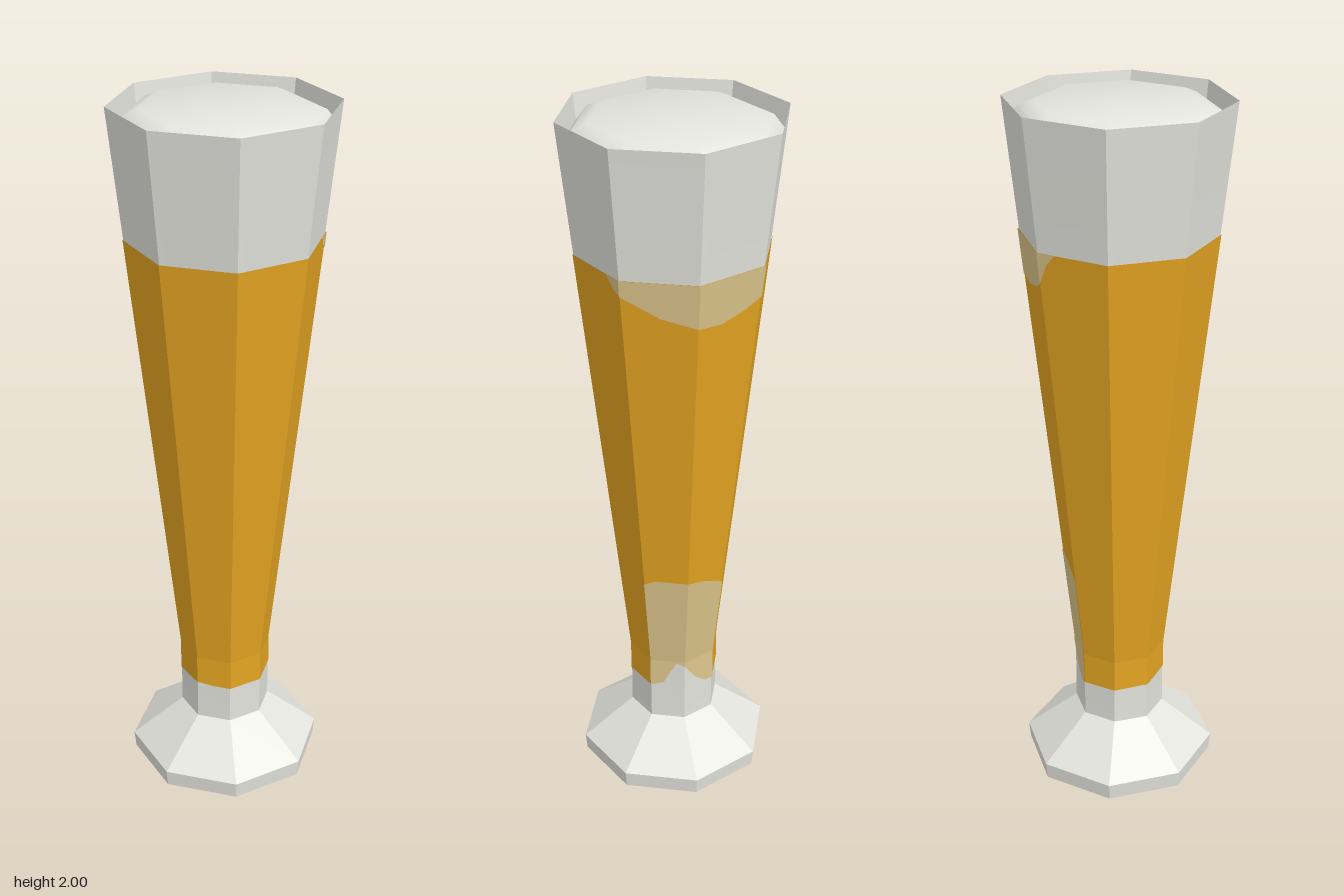
import * as THREE from 'three';
import { toCreasedNormals } from 'three/addons/utils/BufferGeometryUtils.js';

const SIDES = 8;
const BEND = 0.38; // height where the straight neck begins to flare
const NECK_R = 0.13, RIM_R = 0.302;

const radiusAt = (y) => (y < BEND ? NECK_R : NECK_R + ((y - BEND) / (2 - BEND)) * (RIM_R - NECK_R));

// Point on the eight-sided wall: u counts corners, starting at the front
function wallPoint(u, y, lift) {
  const k = Math.floor(u), t = u - k, r = radiusAt(y) + lift;
  const corner = (i) => {
    const a = (i * Math.PI * 2) / SIDES;
    return new THREE.Vector3(Math.sin(a) * r, y, Math.cos(a) * r);
  };
  return corner(k).lerp(corner(k + 1), t);
}

// Height along an outline given as [u, y] points
function outline(points) {
  return (u) => {
    if (u <= points[0][0]) return points[0][1];
    for (let i = 1; i < points.length; i++) {
      const [u0, y0] = points[i - 1], [u1, y1] = points[i];
      if (u <= u1) return y0 + ((y1 - y0) * (u - u0)) / (u1 - u0);
    }
    return points[points.length - 1][1];
  };
}

// Thin coloured skin on the wall between two outlines
function wallBand(u0, u1, low, high, lift) {
  const pos = [], step = 1 / 8;
  for (let u = u0; u < u1 - 1e-6; u += step) {
    const a = wallPoint(u, low(u), lift), b = wallPoint(u + step, low(u + step), lift);
    const c = wallPoint(u + step, high(u + step), lift), d = wallPoint(u, high(u), lift);
    for (const p of [a, b, c, a, c, d]) pos.push(p.x, p.y, p.z);
  }
  const g = new THREE.BufferGeometry();
  g.setAttribute('position', new THREE.Float32BufferAttribute(pos, 3));
  g.computeVertexNormals();
  return g;
}

function lathe(points, crease) {
  const g = new THREE.LatheGeometry(points.map(([x, y]) => new THREE.Vector2(x, y)), SIDES);
  return toCreasedNormals(g, crease);
}

export function createModel() {
  const group = new THREE.Group();
  const material = (name, color) => {
    const m = new THREE.MeshStandardMaterial({ color });
    m.name = name;
    return m;
  };
  const white = material('pale glass', 0xe4e4de);
  const amber = material('amber', 0xe4a522);
  const tan = material('pale amber', 0xdcc48c);
  const add = (name, geometry, mat) => {
    const mesh = new THREE.Mesh(geometry, mat);
    mesh.name = name;
    group.add(mesh);
  };

  // Foot, neck, flared wall and inside of the rim
  add('glass', lathe([
    [0, 0], [0.275, 0], [0.28, 0.05], [NECK_R, 0.17], [NECK_R, BEND], [RIM_R, 2], [0.294, 1.93],
  ], 0.3), white);

  // Foam filling the mouth, with a rounded edge
  add('foam', lathe([[0.294, 1.93], [0.26, 1.975], [0.22, 1.992], [0, 1.992]], 0.55), white);

  // Beer seen through the wall, with an uneven lower edge at the back
  const level = () => 1.65, bend = () => BEND;
  const beerBase = outline([
    [0, 0.293], [0.5, 0.287], [3, 0.287], [3.375, 0.3], [3.75, 0.375], [4, 0.365],
    [4.375, 0.31], [4.75, 0.28], [7.5, 0.287], [8, 0.293],
  ]);
  add('lowerBeer', wallBand(0, 8, beerBase, bend, 0.002), amber);
  add('upperBeer', wallBand(0, 8, bend, level, 0.002), amber);

  // Pale patches on the back of the beer
  const patchBase = outline([
    [2.75, 1.65], [2.875, 1.62], [3, 1.605], [3.5, 1.55], [4, 1.525], [4.375, 1.52],
    [4.75, 1.54], [5, 1.565], [5.125, 1.62], [5.25, 1.65],
  ]);
  add('upperPatch', wallBand(2.75, 5.25, patchBase, level, 0.004), tan);
  const patchTop = outline([[3, 0.67], [3.25, 0.685], [4, 0.685], [4.5, 0.67], [5, 0.64]]);
  add('lowerPatchBase', wallBand(3, 5, beerBase, bend, 0.004), tan);
  add('lowerPatchTop', wallBand(3, 5, bend, patchTop, 0.004), tan);

  return group;
}
